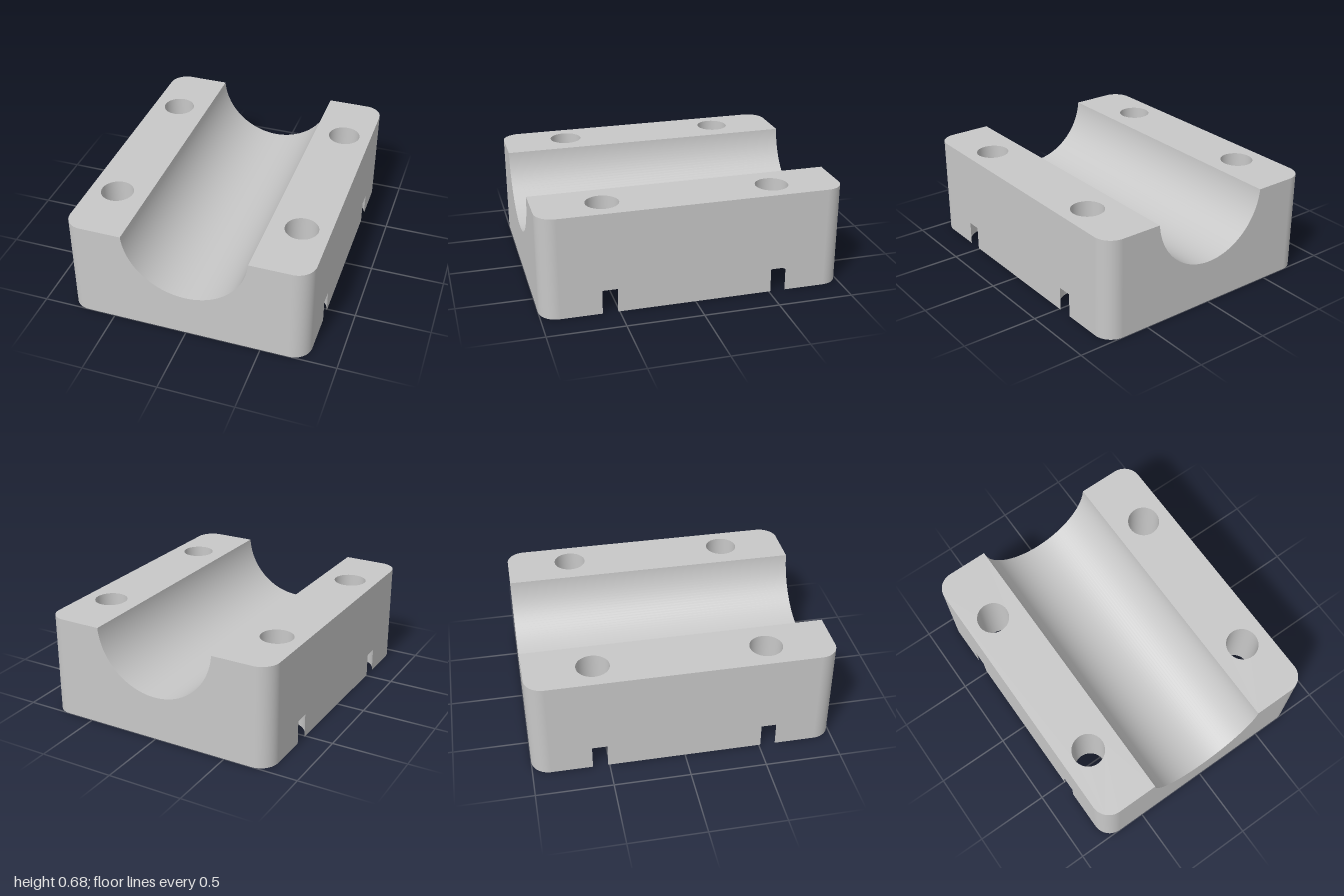
import * as THREE from 'three';

const W = 0.81, D = 1, H = 0.678, CORNER = 0.12;        // half width, half depth, height
const TROUGH_R = 0.416, TROUGH_Y = 0.711;               // cradle radius and axis height
const HOLE_X = 0.625, HOLE_Z = 0.56, HOLE_R = 0.108;    // bolt holes
const BORE_H = 0.16, BORE_R = 0.1915;                   // counterbores that break through the side
const SLOT = Math.sqrt(BORE_R ** 2 - (W - HOLE_X) ** 2);
const SLOT_ANGLE = Math.asin(SLOT / BORE_R);
const TROUGH_ANGLE = Math.acos((TROUGH_Y - H) / TROUGH_R);
const RIM_X = TROUGH_R * Math.sin(TROUGH_ANGLE);
const SEG = 32, PI = Math.PI;

// Turn a surface inside out, for concave walls
function flip(geometry) {
  geometry.index.array.reverse();
  const n = geometry.attributes.normal;
  for (let i = 0; i < n.array.length; i++) n.array[i] *= -1;
  return geometry;
}

const tube = (r, h, start = 0, length = 2 * PI, seg = 64) =>
  new THREE.CylinderGeometry(r, r, h, seg, 1, true, start, length);

const flat = (shape) => new THREE.ShapeGeometry(shape, SEG);

function circlePath(x, y, r) {
  const path = new THREE.Path();
  path.absarc(x, y, r, 0, 2 * PI, true);
  return path;
}

// End face with the cradle cut out of its top
function endShape() {
  const s = new THREE.Shape();
  const x = W - CORNER;
  s.moveTo(-x, 0);
  s.lineTo(x, 0);
  s.lineTo(x, H);
  s.lineTo(RIM_X, H);
  s.absarc(0, TROUGH_Y, TROUGH_R, -PI / 2 + TROUGH_ANGLE, -PI / 2 - TROUGH_ANGLE, true);
  s.lineTo(-x, H);
  s.closePath();
  return s;
}

// Long side face with the two slots
function sideShape() {
  const s = new THREE.Shape();
  const z = D - CORNER;
  s.moveTo(-z, 0);
  for (const c of [-HOLE_Z, HOLE_Z]) {
    s.lineTo(c - SLOT, 0);
    s.lineTo(c - SLOT, BORE_H);
    s.lineTo(c + SLOT, BORE_H);
    s.lineTo(c + SLOT, 0);
  }
  s.lineTo(z, 0);
  s.lineTo(z, H);
  s.lineTo(-z, H);
  s.closePath();
  return s;
}

// Flat land beside the cradle, on the +x side
function landShape() {
  const s = new THREE.Shape();
  s.moveTo(RIM_X, -D);
  s.lineTo(W - CORNER, -D);
  s.absarc(W - CORNER, -D + CORNER, CORNER, -PI / 2, 0, false);
  s.absarc(W - CORNER, D - CORNER, CORNER, 0, PI / 2, false);
  s.lineTo(RIM_X, D);
  s.closePath();
  for (const z of [-HOLE_Z, HOLE_Z]) s.holes.push(circlePath(HOLE_X, z, HOLE_R));
  return s;
}

// Underside outline, bitten into by the counterbores
function bottomShape() {
  const s = new THREE.Shape();
  for (const k of [1, -1]) {
    const turn = k > 0 ? 0 : PI;
    s.absarc(k * (W - CORNER), -k * (D - CORNER), CORNER, turn - PI / 2, turn, false);
    for (const z of [-HOLE_Z, HOLE_Z])
      s.absarc(k * HOLE_X, k * z, BORE_R, turn - SLOT_ANGLE, turn + SLOT_ANGLE, true);
    s.absarc(k * (W - CORNER), k * (D - CORNER), CORNER, turn, turn + PI / 2, false);
  }
  s.closePath();
  return s;
}

// Roof of a counterbore around the bolt hole, open towards +x
function boreRoofShape() {
  const s = new THREE.Shape();
  s.absarc(0, 0, BORE_R, SLOT_ANGLE, 2 * PI - SLOT_ANGLE, false);
  s.closePath();
  s.holes.push(circlePath(0, 0, HOLE_R));
  return s;
}

export function createModel() {
  const group = new THREE.Group();
  group.name = 'cradleBlock';
  const grey = new THREE.MeshStandardMaterial({ color: 0xc8c8c8 });
  grey.name = 'grey';

  function add(name, geometry, x = 0, y = 0, z = 0) {
    const mesh = new THREE.Mesh(geometry, grey);
    mesh.name = name;
    mesh.position.set(x, y, z);
    group.add(mesh);
  }

  add('frontFace', flat(endShape()), 0, 0, D);
  add('backFace', flat(endShape()).rotateY(PI), 0, 0, -D);
  add('underside', flat(bottomShape()).rotateX(PI / 2));
  add('cradle', flip(tube(TROUGH_R, 2 * D, -TROUGH_ANGLE, 2 * TROUGH_ANGLE).rotateX(PI / 2)), 0, TROUGH_Y, 0);

  for (const k of [1, -1]) {
    const side = k > 0 ? 'left' : 'right';
    const turn = k > 0 ? 0 : PI;
    add(side + 'Side', flat(sideShape()).rotateY(k * PI / 2), k * W, 0, 0);
    add(side + 'Land', flat(landShape()).rotateX(-PI / 2).rotateY(turn), 0, H, 0);

    for (const j of [1, -1]) {
      const end = j > 0 ? 'Front' : 'Back';
      // Rounded vertical corner
      const start = k > 0 ? (j > 0 ? 0 : PI / 2) : (j > 0 ? -PI / 2 : PI);
      add(side + end + 'Corner', tube(CORNER, H, start, PI / 2, 16), k * (W - CORNER), H / 2, j * (D - CORNER));
      // Bolt hole above its counterbore
      add(side + end + 'BoltHole', flip(tube(HOLE_R, H - BORE_H)), k * HOLE_X, (H + BORE_H) / 2, j * HOLE_Z);
      add(side + end + 'Counterbore',
        flip(tube(BORE_R, BORE_H, PI / 2 + turn + SLOT_ANGLE, 2 * PI - 2 * SLOT_ANGLE)),
        k * HOLE_X, BORE_H / 2, j * HOLE_Z);
      add(side + end + 'CounterboreRoof', flat(boreRoofShape()).rotateX(PI / 2).rotateY(turn),
        k * HOLE_X, BORE_H, j * HOLE_Z);
    }
  }
  return group;
}
